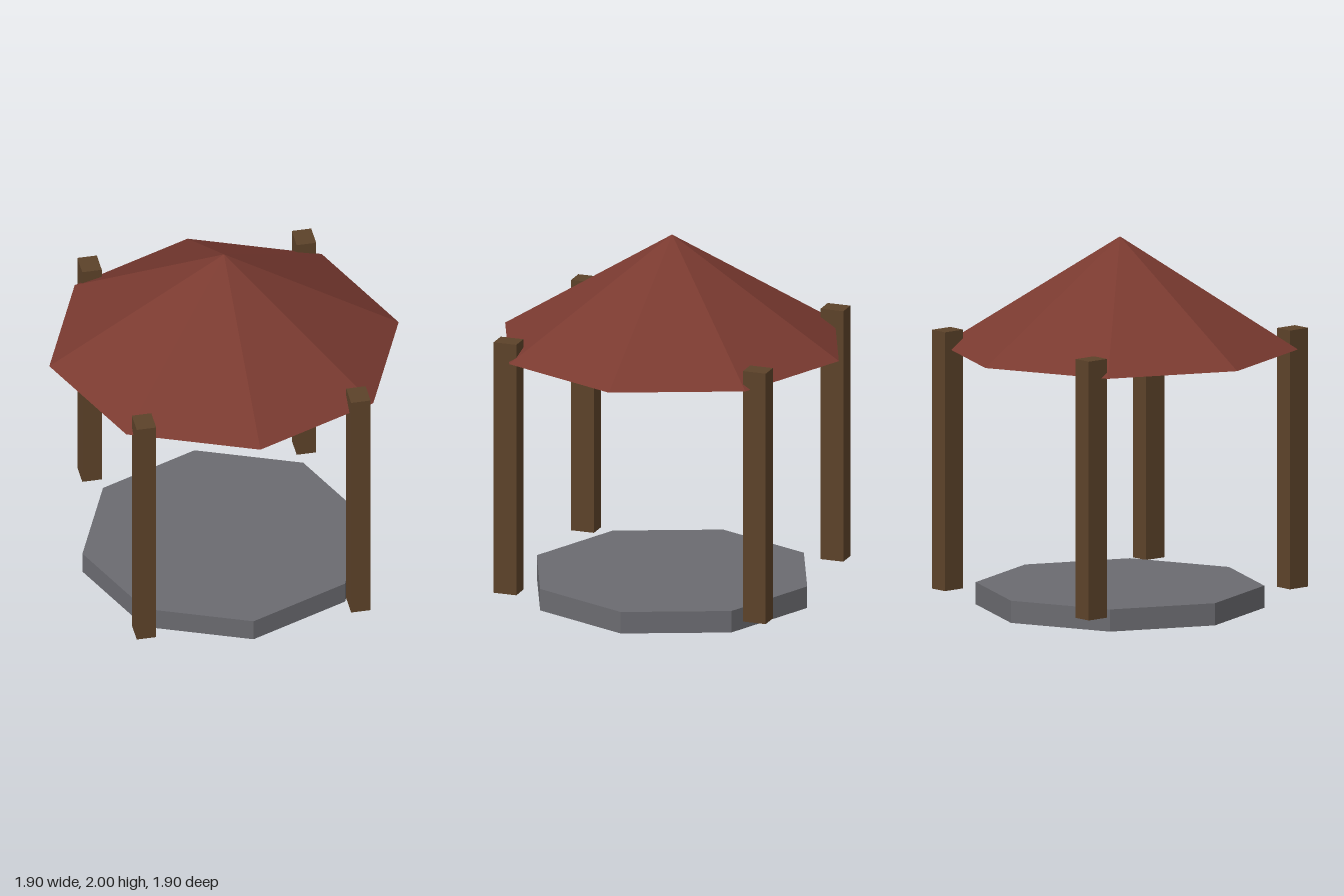
import * as THREE from 'three';

const material = (color) => new THREE.MeshStandardMaterial({ color, flatShading: true });

function addPart(parent, name, geometry, mat, x, y, z) {
  const mesh = new THREE.Mesh(geometry, mat);
  mesh.name = name;
  mesh.position.set(x, y, z);
  parent.add(mesh);
  return mesh;
}

export function createModel() {
  const gazebo = new THREE.Group();
  gazebo.name = 'gazebo';

  const stone = material(0x6b6b70);
  const wood = material(0x5c4229);
  const tile = material(0x7a3a30);

  // Octagonal floor slab, corners on the axes
  addPart(gazebo, 'floor', new THREE.CylinderGeometry(0.77, 0.77, 0.12, 8), stone, 0, 0.06, 0);

  // Four corner posts, slightly deeper than wide
  const posts = new THREE.Group();
  posts.name = 'posts';
  gazebo.add(posts);
  const postGeometry = new THREE.BoxGeometry(0.106, 1.4, 0.129);
  for (const [side, x] of [['Left', 0.583], ['Right', -0.583]]) {
    for (const [end, z] of [['front', 0.71], ['back', -0.71]]) {
      addPart(posts, `${end}${side}Post`, postGeometry, wood, x, 0.8, z);
    }
  }

  // Eight-sided pitched roof, closed underneath
  addPart(gazebo, 'roof', new THREE.ConeGeometry(0.95, 0.6, 8), tile, 0, 1.7, 0);

  return gazebo;
}
